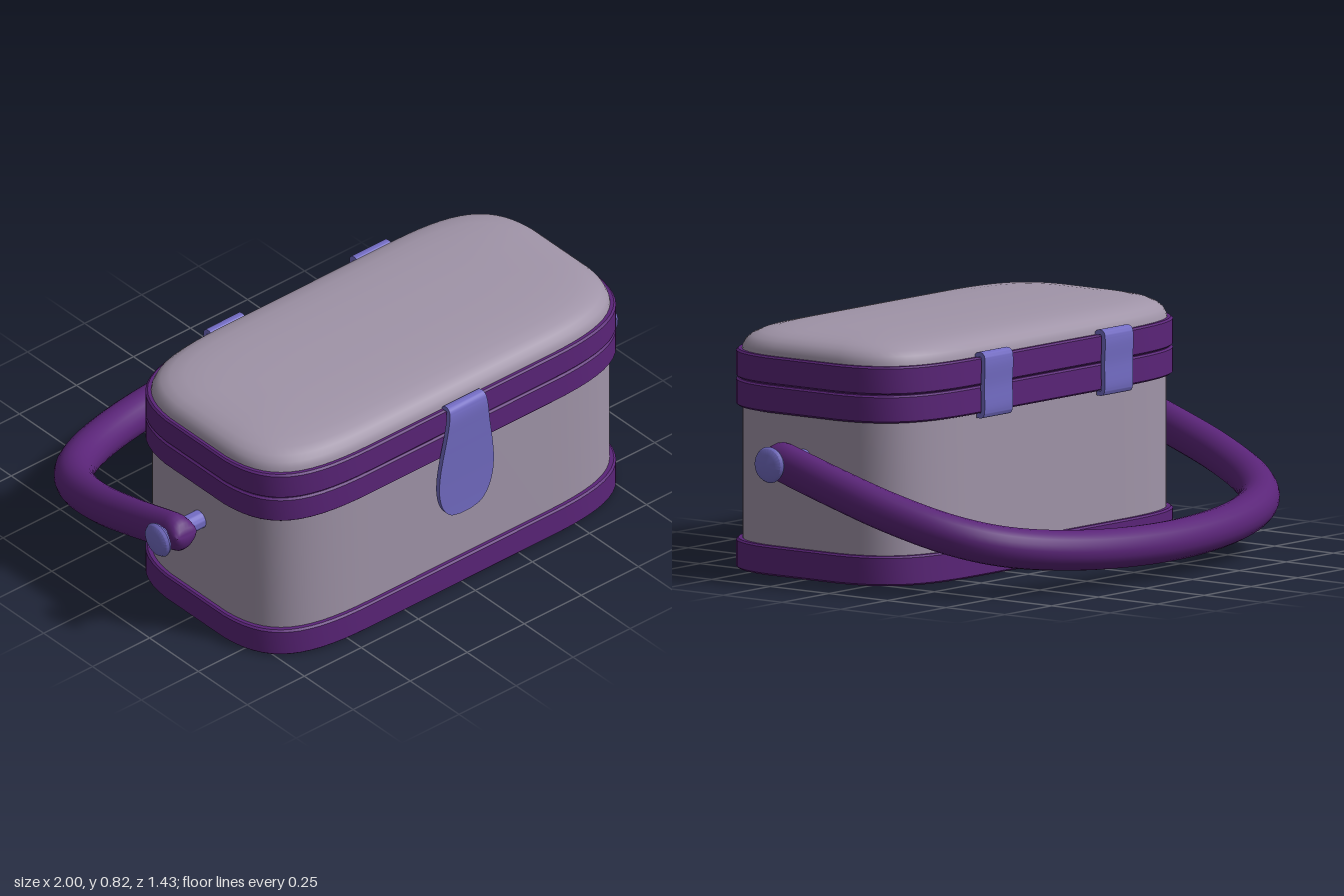
import * as THREE from 'three';
import { toCreasedNormals } from 'three/addons/utils/BufferGeometryUtils.js';

const MID_Z = 0.265; // centre of the box; the handle swings out behind it
const PIVOT = new THREE.Vector3(0.905, 0.405, 0.27);

const greyMat = new THREE.MeshStandardMaterial({ color: 0xa094a8 });
const purpleMat = new THREE.MeshStandardMaterial({ color: 0x5a2478 });
const violetMat = new THREE.MeshStandardMaterial({ color: 0x736cc4 });

// Skins a list of equal-sized rings, closes both ends and faces it outwards
function loft(rings, crease = 0.6) {
  const n = rings[0].length, pos = [], idx = [];
  rings.forEach((r) => r.forEach((p) => pos.push(p.x, p.y, p.z)));
  for (let i = 0; i < rings.length - 1; i++) {
    for (let j = 0; j < n; j++) {
      const a = i * n + j, b = i * n + (j + 1) % n;
      idx.push(a, b, a + n, b, b + n, a + n);
    }
  }
  [0, rings.length - 1].forEach((i) => {
    const c = new THREE.Vector3();
    rings[i].forEach((p) => c.addScaledVector(p, 1 / n));
    const k = pos.length / 3;
    pos.push(c.x, c.y, c.z);
    for (let j = 0; j < n; j++) {
      const a = i * n + j, b = i * n + (j + 1) % n;
      if (i === 0) idx.push(k, b, a);
      else idx.push(k, a, b);
    }
  });
  const at = (i) => new THREE.Vector3().fromArray(pos, i * 3);
  let volume = 0;
  for (let t = 0; t < idx.length; t += 3) {
    volume += at(idx[t]).dot(at(idx[t + 1]).cross(at(idx[t + 2])));
  }
  if (volume < 0) idx.reverse();
  const g = new THREE.BufferGeometry();
  g.setAttribute('position', new THREE.Float32BufferAttribute(pos, 3));
  g.setIndex(idx);
  return toCreasedNormals(g, crease);
}

// Soft-cornered rectangular plan of the box, seen from above
function planOutline() {
  const hx = 0.815, hz = 0.42;
  const corner = new THREE.CubicBezierCurve(
    new THREE.Vector2(0.4, hz), new THREE.Vector2(0.68, hz),
    new THREE.Vector2(0.80, 0.36), new THREE.Vector2(hx, 0.15)).getPoints(14);
  const back = corner.slice().reverse();
  return [
    ...corner,
    ...back.map((p) => new THREE.Vector2(p.x, -p.y)),
    ...corner.map((p) => new THREE.Vector2(-p.x, -p.y)),
    ...back.map((p) => new THREE.Vector2(-p.x, p.y)),
  ];
}

// Stacks the plan at [inset, height] levels
function shell(levels, crease) {
  const plan = planOutline();
  return loft(levels.map(([inset, y]) => plan.map((p) => new THREE.Vector3(
    p.x * (1 - inset / 0.815), y, MID_Z + p.y * (1 - inset / 0.42)))), crease);
}

function band(y0, y1) {
  const b = 0.006;
  return shell([[b, y0], [0, y0 + b], [0, y1 - b], [b, y1]]);
}

// Bent strip following a side profile of [half width, height, z]
function strap(profile, thickness) {
  const curve = new THREE.CatmullRomCurve3(profile.map((p) => new THREE.Vector3(...p)));
  const steps = 48, h = thickness / 2;
  const rings = [];
  for (let i = 0; i <= steps; i++) {
    const p = curve.getPoint(i / steps), t = curve.getTangent(i / steps);
    const len = Math.hypot(t.y, t.z) || 1;
    const ny = (-t.z / len) * h, nz = (t.y / len) * h;
    rings.push([[1, 1], [-1, 1], [-1, -1], [1, -1]].map(([sx, s]) =>
      new THREE.Vector3(sx * p.x, p.y + s * ny, p.z + s * nz)));
  }
  return loft(rings);
}

// Oval-section bail lying in a tilted plane, with rounded ends at the pivots
function handleGeometry() {
  const tilt = 0.314;
  const half = [[0.905, 0.27], [0.895, 0.05], [0.87, -0.16], [0.80, -0.36], [0.68, -0.49], [0.42, -0.595]];
  const pts = [...half, [0, -0.643], ...half.slice().reverse().map(([x, z]) => [-x, z])];
  const curve = new THREE.CatmullRomCurve3(pts.map(([x, z]) =>
    new THREE.Vector3(x, PIVOT.y - tilt * (PIVOT.z - z), z)));
  const up = new THREE.Vector3(0, 1, -tilt).normalize();
  const R = 0.068, steps = 72, rings = [];
  const ring = (u, shift, flat, narrow) => {
    const t = curve.getTangent(u), side = t.clone().cross(up).normalize();
    const c = curve.getPoint(u).addScaledVector(t, shift);
    const w = (0.05 + 0.018 * Math.min(1, Math.sin(Math.PI * u) * 1.3)) * narrow;
    rings.push(Array.from({ length: 20 }, (_, k) => {
      const a = (k / 20) * Math.PI * 2;
      return c.clone().addScaledVector(side, Math.cos(a) * w).addScaledVector(up, Math.sin(a) * R * flat);
    }));
  };
  const ends = [1.5, 1.25, 0.95, 0.65, 0.3];
  ends.forEach((a) => ring(0, -R * Math.sin(a), Math.cos(a), 1 - 0.2 * Math.sin(a) ** 6));
  for (let i = 0; i <= steps; i++) ring(i / steps, 0, 1, 1);
  ends.slice().reverse().forEach((a) => ring(1, R * Math.sin(a), Math.cos(a), 1 - 0.2 * Math.sin(a) ** 6));
  return loft(rings, 0.9);
}

export function createModel() {
  const model = new THREE.Group();
  model.name = 'lunchBox';
  const add = (name, geometry, material) => {
    const mesh = new THREE.Mesh(geometry, material);
    mesh.name = name;
    model.add(mesh);
    return mesh;
  };

  // Box and lid
  add('baseBand', band(0, 0.1), purpleMat);
  add('body', shell([[0.018, 0.09], [0.018, 0.56]]), greyMat);
  add('bodyRim', band(0.548, 0.641), purpleMat);
  add('lidRim', band(0.643, 0.738), purpleMat);
  add('lidDome', shell([
    [0.015, 0.73], [0.018, 0.75], [0.026, 0.768], [0.042, 0.784], [0.068, 0.797],
    [0.11, 0.806], [0.17, 0.812], [0.25, 0.816], [0.34, 0.818],
  ], 1.2), greyMat);

  // Front clasp and the stud behind it
  add('clasp', strap([
    [0.076, 0.735, 0.672], [0.077, 0.747, 0.684], [0.079, 0.745, 0.701], [0.083, 0.72, 0.708],
    [0.094, 0.64, 0.706], [0.108, 0.56, 0.702], [0.118, 0.48, 0.698], [0.116, 0.41, 0.695],
    [0.098, 0.35, 0.693], [0.065, 0.312, 0.692], [0.02, 0.3, 0.692],
  ], 0.017), violetMat);
  const stud = add('claspStud', new THREE.CylinderGeometry(0.035, 0.035, 0.05, 24), greyMat);
  stud.rotation.x = Math.PI / 2;
  stud.position.set(0, 0.39, 0.665);

  // Back hinges
  for (const x of [-0.32, 0.32]) {
    const w = 0.075;
    const hinge = add(x > 0 ? 'leftHinge' : 'rightHinge', strap([
      [w, 0.738, -0.14], [w, 0.748, -0.153], [w, 0.744, -0.169], [w, 0.72, -0.174],
      [w, 0.64, -0.171], [w, 0.56, -0.172], [w, 0.543, -0.167], [w, 0.542, -0.145],
    ], 0.016), violetMat);
    hinge.position.x = x;
  }

  // Carrying handle and its pivot pins
  add('handle', handleGeometry(), purpleMat);
  const pinProfile = [[0, 0.78], [0.032, 0.78], [0.032, 0.966], [0.058, 0.972], [0.061, 0.98], [0.055, 0.99], [0.035, 0.997], [0, 1]]
    .map(([r, y]) => new THREE.Vector2(r, y));
  for (const s of [-1, 1]) {
    const pin = add(s > 0 ? 'leftPivotPin' : 'rightPivotPin',
      toCreasedNormals(new THREE.LatheGeometry(pinProfile, 28), 0.7), violetMat);
    pin.rotation.z = -s * Math.PI / 2;
    pin.position.set(0, PIVOT.y, PIVOT.z);
  }
  return model;
}
